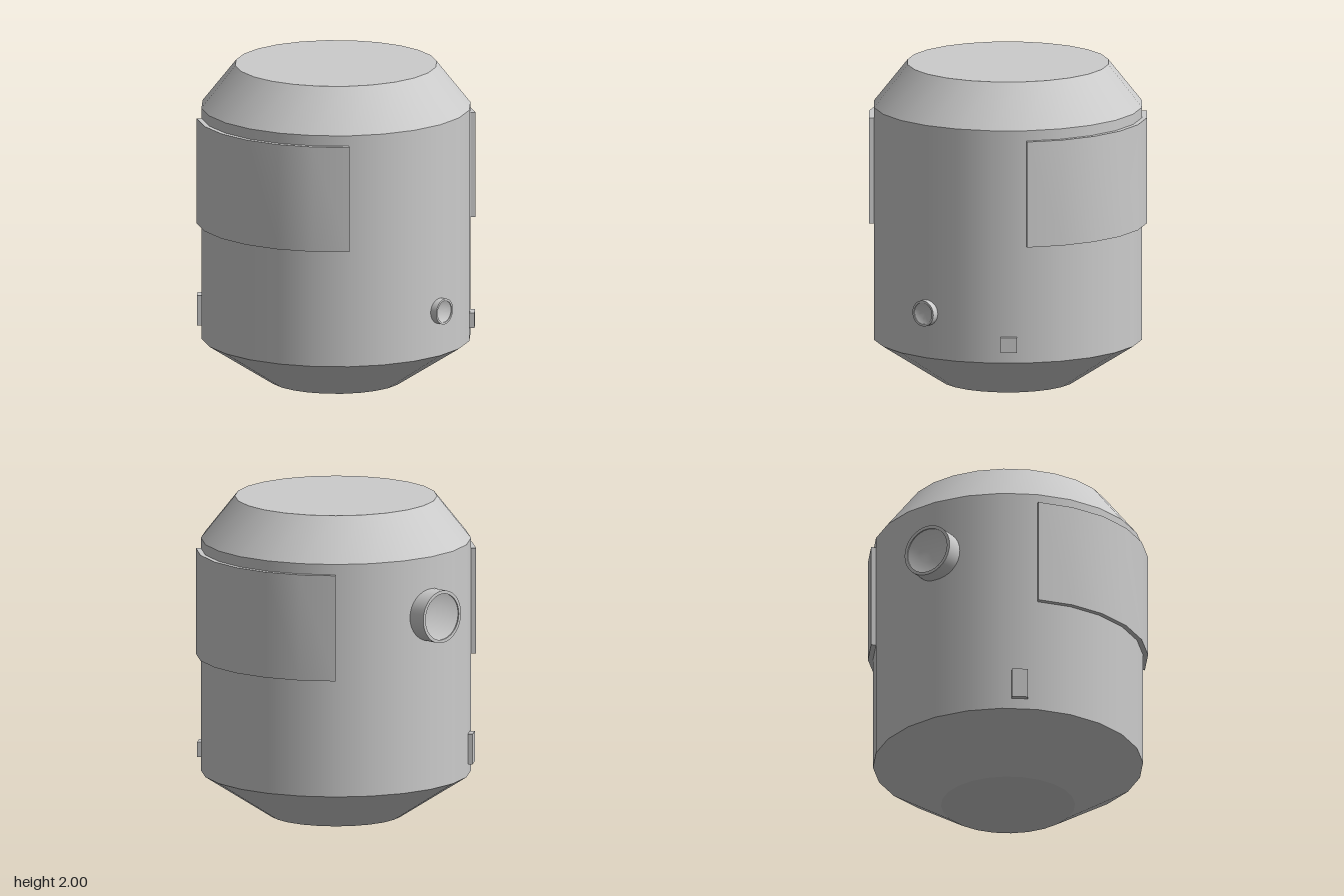
import * as THREE from 'three';
import { toCreasedNormals } from 'three/addons/utils/BufferGeometryUtils.js';

const SIDES = 24;
const RADIUS = 0.835;
const material = new THREE.MeshStandardMaterial({ color: 0xcccccc });

function add(parent, name, geometry) {
  const mesh = new THREE.Mesh(geometry, material);
  mesh.name = name;
  parent.add(mesh);
  return mesh;
}

// Curved plate that follows six facets of the hull
function plateGeometry(inner, outer, height) {
  const points = [];
  for (let i = 0; i <= 6; i++) {
    const a = -Math.PI / 4 + (i * Math.PI) / 12;
    points.push(new THREE.Vector2(outer * Math.cos(a), outer * Math.sin(a)));
  }
  for (let i = 6; i >= 0; i--) {
    const a = -Math.PI / 4 + (i * Math.PI) / 12;
    points.push(new THREE.Vector2(inner * Math.cos(a), inner * Math.sin(a)));
  }
  const geometry = new THREE.ExtrudeGeometry(new THREE.Shape(points), { depth: height, bevelEnabled: false });
  return toCreasedNormals(geometry.rotateX(-Math.PI / 2), 0.5);
}

// Short tube with a thin rim and a shallow dished face, pointing along +z
function portGeometry(radius, faceRadius, length, dish) {
  const profile = [
    [0, length - dish], [faceRadius * 0.5, length - dish * 0.85], [faceRadius * 0.85, length - dish * 0.5],
    [faceRadius, length - dish * 0.25], [faceRadius, length], [radius, length], [radius, 0],
  ].reverse().map(([r, y]) => new THREE.Vector2(r, y));
  const geometry = new THREE.LatheGeometry(profile, 32).rotateX(Math.PI / 2);
  return toCreasedNormals(geometry, 0.6);
}

export function createModel() {
  const model = new THREE.Group();
  model.name = 'capsule';

  // Everything is set around the hull axis, which sits slightly forward
  const hull = new THREE.Group();
  hull.name = 'hull';
  hull.position.z = 0.03;
  model.add(hull);

  // Hull: tapered base, straight wall, tapered top
  const rings = [
    ['base', 0.415, 0, RADIUS, 0.27],
    ['wall', RADIUS, 0.27, RADIUS, 1.735],
    ['shoulder', RADIUS, 1.735, 0.625, 2],
  ];
  for (const [name, r0, y0, r1, y1] of rings) {
    add(hull, name, new THREE.CylinderGeometry(r1, r0, y1 - y0, SIDES, 1, true)).position.y = (y0 + y1) / 2;
  }
  const lid = add(hull, 'lid', new THREE.CircleGeometry(0.625, SIDES).rotateX(-Math.PI / 2));
  lid.position.y = 2;
  add(hull, 'underside', new THREE.CircleGeometry(0.415, SIDES).rotateX(Math.PI / 2));

  // Curved side plates
  for (const side of [1, -1]) {
    const plate = add(hull, side > 0 ? 'leftPlate' : 'rightPlate', plateGeometry(RADIUS - 0.002, 0.866, 0.665));
    plate.position.y = 1.005;
    if (side < 0) plate.rotation.y = Math.PI;
  }

  // Round ports at the front and back
  const frontPort = add(hull, 'frontPort', portGeometry(0.081, 0.068, 0.09, 0.02));
  frontPort.position.set(0, 0.555, 0.78);
  const backPort = add(hull, 'backPort', portGeometry(0.165, 0.145, 0.18, 0.03));
  backPort.position.set(0, 1.37, -0.75);
  backPort.rotation.y = Math.PI;

  // Small blocks on opposite facets
  const angle = (37.5 * Math.PI) / 180;
  const blocks = [['frontBlock', angle, 0.34, 0.095], ['backBlock', angle + Math.PI, 0.34, 0.19]];
  for (const [name, a, y, height] of blocks) {
    const block = add(hull, name, new THREE.BoxGeometry(0.1, height, 0.04));
    block.position.set(Math.sin(a) * 0.838, y + height / 2, Math.cos(a) * 0.838);
    block.rotation.y = a;
  }
  return model;
}
